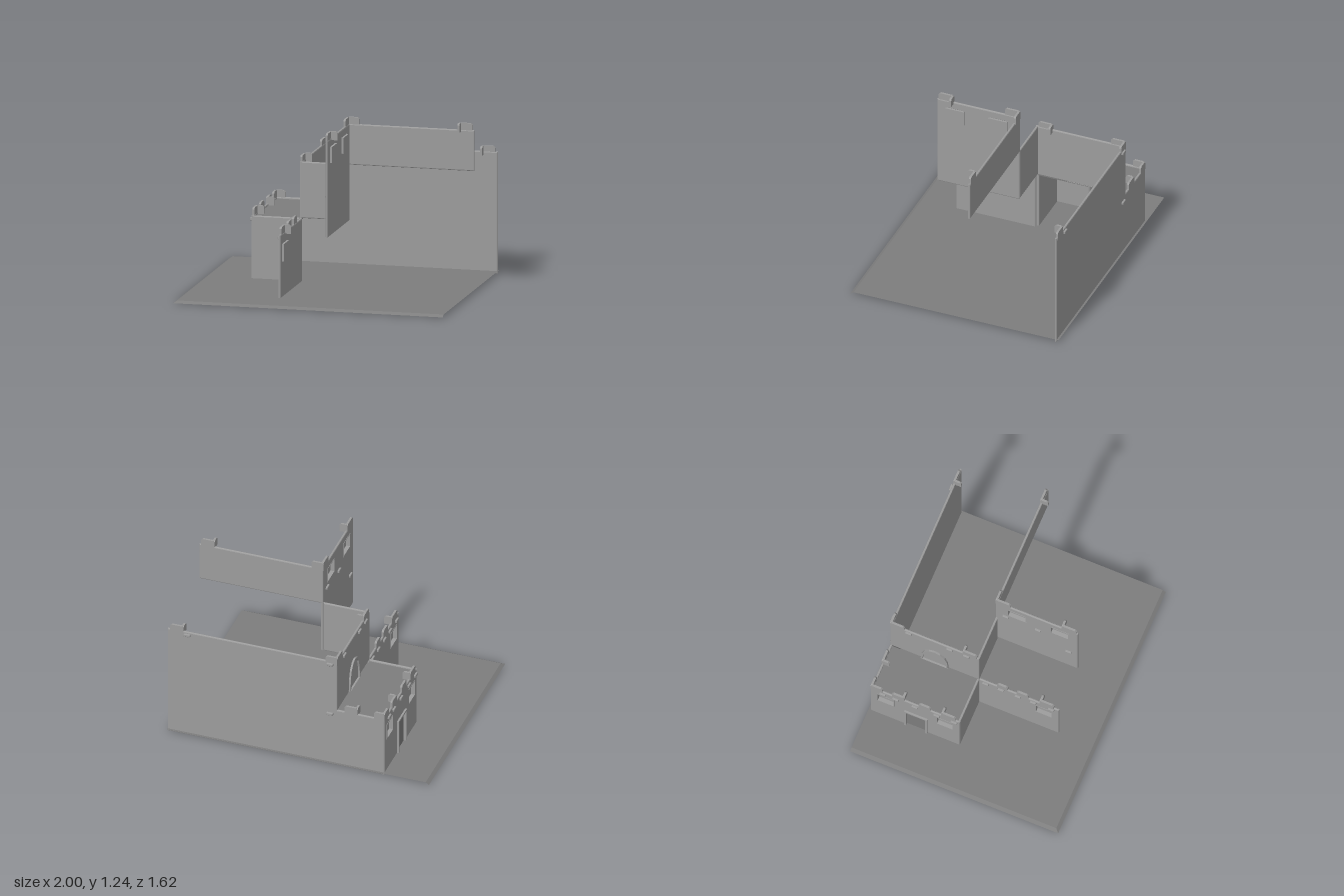
import * as THREE from 'three';
import { RoundedBoxGeometry } from 'three/addons/geometries/RoundedBoxGeometry.js';

const T = 0.018; // wall thickness
const BEVEL = 0.008;
const plaster = new THREE.MeshStandardMaterial({ color: 0x9d9d9d, side: THREE.DoubleSide });
const earth = new THREE.MeshStandardMaterial({ color: 0x7d7d7d, side: THREE.DoubleSide });

function add(parent, name, geometry, x = 0, y = 0, z = 0, material = plaster) {
  const mesh = new THREE.Mesh(geometry, material);
  mesh.name = name;
  mesh.position.set(x, y, z);
  parent.add(mesh);
  return mesh;
}

// Outline of an opening standing on (s, y); grow widens it for the frame
const RECT = [[-0.5, 0], [0.5, 0], [0.5, 1], [-0.5, 1]];
const ARCH = [[-0.5, 0], [0.5, 0], [0.47, 0.45], [0.37, 0.75], [0.2, 0.93], [0, 1],
  [-0.2, 0.93], [-0.37, 0.75], [-0.47, 0.45]];
function outline(o, grow = 0) {
  const below = o.door ? 0 : grow;
  return o.form.map(([u, v]) => new THREE.Vector2(
    o.s + u * (o.w + 2 * grow), o.y - below + v * (o.h + grow + below)));
}

// Recessed opening: frame ring plus panel at the back
function opening(wall, o) {
  const grow = o.door ? 0.014 : 0.006;
  const front = o.door ? 0.014 : 0.002;
  const back = o.door ? 0.012 : 0.032;
  const ring = new THREE.Shape(outline(o, grow));
  ring.holes.push(new THREE.Path(outline(o)));
  add(wall, o.door ? 'doorFrame' : 'windowFrame',
    new THREE.ExtrudeGeometry(ring, { depth: front + back, bevelEnabled: false }), 0, 0, -back);
  add(wall, o.door ? 'doorPanel' : 'windowPanel',
    new THREE.ExtrudeGeometry(new THREE.Shape(outline(o)), { depth: 0.004, bevelEnabled: false }),
    0, 0, -back, o.door ? earth : plaster);
}

// Wall from a to b (x, z); local x runs along it and local z points outwards
function wall(root, name, a, b, profile, openings = []) {
  const g = new THREE.Group();
  g.name = name;
  g.position.set(a[0], 0, a[1]);
  g.rotation.y = Math.atan2(a[1] - b[1], b[0] - a[0]);
  const shape = new THREE.Shape(profile.map(p => new THREE.Vector2(p[0], p[1])));
  openings.forEach(o => shape.holes.push(new THREE.Path(outline(o))));
  add(g, name + 'Sheet', new THREE.ExtrudeGeometry(shape, {
    depth: T - 2 * BEVEL, bevelThickness: BEVEL, bevelSize: BEVEL, bevelOffset: -BEVEL, bevelSegments: 2,
  }), 0, 0, -T + BEVEL);
  openings.forEach(o => opening(g, o));
  root.add(g);
  return g;
}
const rect = (len, y0, y1) => [[0, y0], [len, y0], [len, y1], [0, y1]];
const win = (s, y, w = 0.122, h = 0.118) => ({ form: RECT, s, y, w, h });

// Upright plate with chamfered top corners
function plate(len) {
  const w = len / 2, c = 0.012;
  const shape = new THREE.Shape([[-w, -0.015], [w, -0.015], [w, 0.05 - c], [w - c, 0.05],
    [c - w, 0.05], [-w, 0.05 - c]].map(p => new THREE.Vector2(p[0], p[1])));
  return new THREE.ExtrudeGeometry(shape, { depth: 0.016, bevelEnabled: false });
}

// Battlement plate from s0 to s1 with an optional return at s = side
function merlon(g, s0, s1, top, side) {
  add(g, 'battlement', plate(s1 - s0), (s0 + s1) / 2, top, -0.015);
  if (side !== undefined)
    add(g, 'battlementReturn', plate(0.06), side - 0.008, top, -0.03).rotation.y = Math.PI / 2;
}

// Small bricks showing through the plaster on the outside
function bricks(g, list) {
  for (const [s, y] of list)
    add(g, 'exposedBrick', new RoundedBoxGeometry(0.05, 0.022, 0.03, 1, 0.005), s, y, -0.001);
}

export function createModel() {
  const root = new THREE.Group();
  root.name = 'steppedHouse';

  // Open ground sheet, sloping down along the right and front edges
  const sheet = new THREE.PlaneGeometry(2, 1.62, 2, 2).rotateX(-Math.PI / 2);
  const p = sheet.attributes.position;
  const xs = [-1, -0.975, 1], zs = [-0.81, 0.785, 0.81];
  for (let i = 0; i < p.count; i++) {
    const col = i % 3, row = Math.floor(i / 3);
    p.setXYZ(i, xs[col], col === 0 || row === 2 ? 0.003 : 0.02, zs[row]);
  }
  const ground = sheet.toNonIndexed();
  ground.computeVertexNormals();
  add(root, 'ground', ground, 0, 0, 0, earth);

  // Stepped back wall
  const back = wall(root, 'backWall', [1, -0.795], [-0.655, -0.795],
    [[0, 0], [1.655, 0], [1.655, 0.48], [1.295, 0.48], [1.295, 0.895], [0, 0.895]]);
  merlon(back, 1.575, 1.655, 0.48);
  merlon(back, 1.35, 1.45, 0.48, 1.443);
  merlon(back, 1.205, 1.295, 0.885);
  merlon(back, 0.02, 0.12, 0.885, 0.113);
  bricks(back, [[0.15, 0.87], [1.24, 0.87], [1.24, 0.44]]);

  // Ground storey: entrance wall, its front return and the forward wall
  const entrance = wall(root, 'entranceWall', [-0.655, -0.795], [-0.655, -0.1], rect(0.695, 0, 0.48), [
    win(0.117, 0.284), win(0.578, 0.284),
    { form: RECT, door: true, s: 0.355, y: 0.018, w: 0.15, h: 0.261 },
  ]);
  merlon(entrance, 0, 0.09, 0.48);
  merlon(entrance, 0.165, 0.26, 0.48, 0.253);
  merlon(entrance, 0.375, 0.465, 0.48);
  merlon(entrance, 0.55, 0.66, 0.48, 0.557);
  bricks(entrance, [[0.095, 0.45], [0.195, 0.45], [0.345, 0.45], [0.515, 0.45], [0.65, 0.45]]);
  wall(root, 'entranceFrontWall', [-0.655, -0.1], [-0.295, -0.1], rect(0.36, 0, 0.48));

  const forward = wall(root, 'forwardWall', [-0.295, -0.1], [-0.295, 0.52], rect(0.62, 0, 0.48),
    [win(0.504, 0.284)]);
  merlon(forward, 0.14, 0.22, 0.48);
  merlon(forward, 0.29, 0.38, 0.48);
  merlon(forward, 0.47, 0.58, 0.48, 0.477);
  bricks(forward, [[0.05, 0.45], [0.17, 0.45], [0.3, 0.45], [0.42, 0.45], [0.56, 0.45]]);

  // Terrace floor above the entrance
  add(root, 'terraceFloor', new THREE.BoxGeometry(0.35, 0.01, 0.68), -0.472, 0.462, -0.447, earth);

  // Middle storey: arched doorway and front return
  const middle = wall(root, 'middleWall', [-0.295, -0.795], [-0.295, -0.1], rect(0.695, 0.475, 0.895),
    [{ form: ARCH, door: true, s: 0.35, y: 0.485, w: 0.185, h: 0.212 }]);
  merlon(middle, 0, 0.11, 0.885);
  merlon(middle, 0.565, 0.675, 0.885, 0.572);
  bricks(middle, [[0.145, 0.87], [0.465, 0.87], [0.595, 0.87]]);
  wall(root, 'middleFrontWall', [-0.295, -0.1], [0.055, -0.1], rect(0.35, 0.48, 0.895));

  // Top storey: back parapet and windowed wall
  const parapet = wall(root, 'topBackWall', [1, -0.12], [0.055, -0.12], rect(0.945, 0.89, 1.19));
  merlon(parapet, 0.855, 0.945, 1.19);
  merlon(parapet, 0.015, 0.115, 1.19, 0.108);

  const top = wall(root, 'topWall', [0.055, -0.12], [0.055, 0.52], rect(0.64, 0.48, 1.19),
    [win(0.166, 1.022, 0.133, 0.105), win(0.5, 1.022, 0.133, 0.105)]);
  merlon(top, 0, 0.115, 1.19);
  merlon(top, 0.515, 0.63, 1.19, 0.522);
  bricks(top, [[0.08, 0.985], [0.33, 0.968], [0.57, 0.77]]);

  return root;
}
